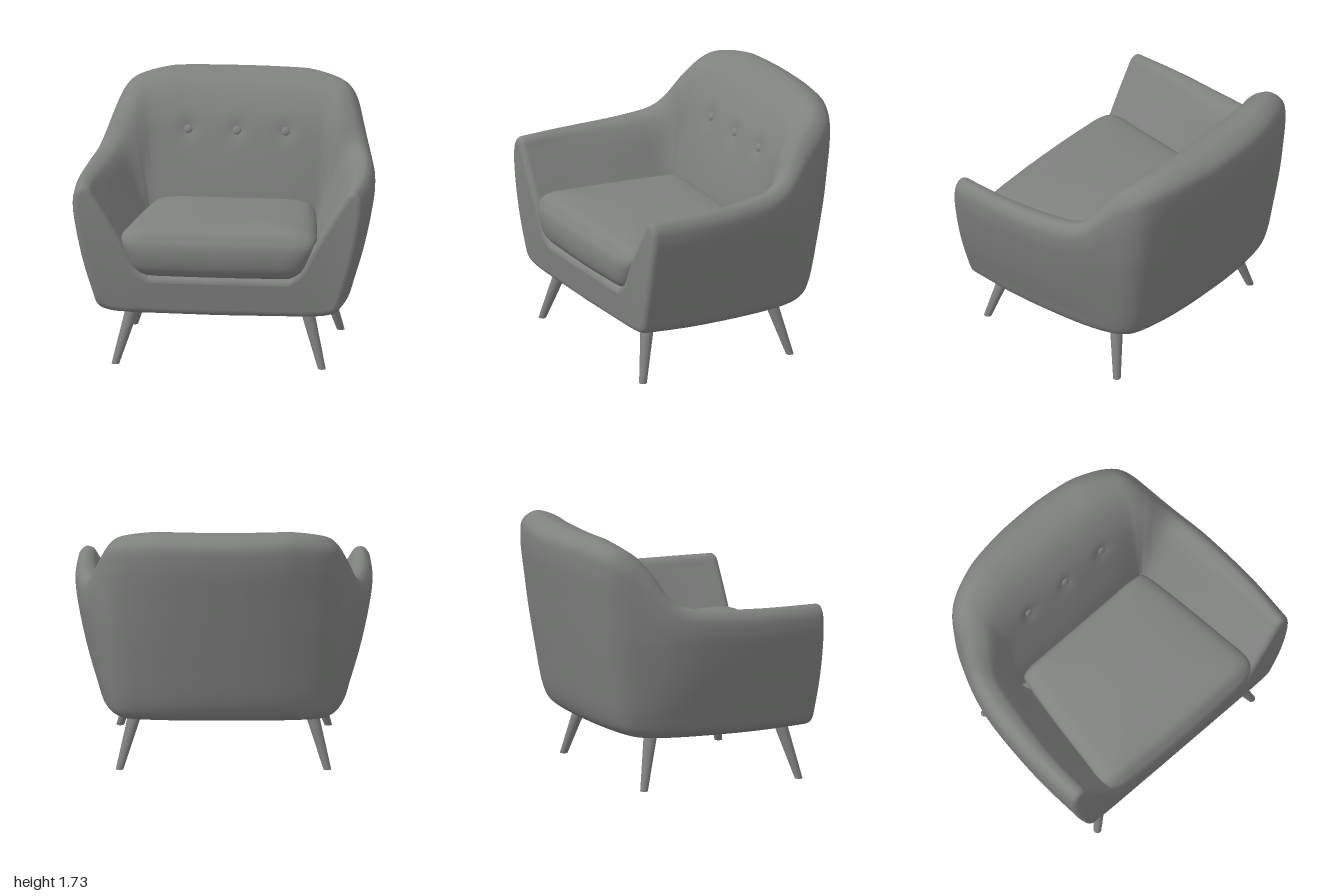
import * as THREE from 'three';

const material = new THREE.MeshStandardMaterial({ color: 0x7f817f, side: THREE.DoubleSide });
const { smoothstep, clamp, lerp } = THREE.MathUtils;
const BUTTON_Y = 1.37, BUTTON_X = [-0.33, 0, 0.33];
const ARM_FOOT = 0.52, BACK_FOOT = 0.68;

function addMesh(group, name, geometry) {
  const mesh = new THREE.Mesh(geometry, material);
  mesh.name = name;
  group.add(mesh);
  return mesh;
}

// Skin a grid of points: rows of equal length, optionally closed along each row
function skin(rows, closed) {
  const n = rows[0].length, index = [];
  for (let i = 0; i < rows.length - 1; i++) {
    for (let j = 0; j < (closed ? n : n - 1); j++) {
      const k = (j + 1) % n;
      const a = i * n + j, b = (i + 1) * n + j, c = (i + 1) * n + k, d = i * n + k;
      index.push(a, b, c, a, c, d);
    }
  }
  const geometry = new THREE.BufferGeometry().setFromPoints(rows.flat());
  geometry.setIndex(index);
  geometry.computeVertexNormals();
  return geometry;
}

// Wall profiles, [inset from the outer outline, height], from underside over the rim to the seat
const smooth = (pts) => new THREE.CatmullRomCurve3(pts.map(([d, y]) => new THREE.Vector3(d, y, 0))).getPoints(112);
const armProfile = smooth([
  [0.40, 0.342], [0.25, 0.356], [0.175, 0.395], [0.13, 0.52], [0.07, 0.72],
  [0.02, 0.95], [0, 1.1], [0.01, 1.19], [0.055, 1.237], [0.105, 1.226],
  [0.15, 1.16], [0.245, 1.01], [0.35, 0.84], [0.44, 0.68], [ARM_FOOT, 0.62],
]);
const backProfile = smooth([
  [0.50, 0.345], [0.33, 0.365], [0.25, 0.41], [0.2, 0.51], [0.135, 0.8],
  [0.05, 1.25], [0.005, 1.55], [0.02, 1.67], [0.12, 1.73], [0.24, 1.71],
  [0.35, 1.64], [0.47, 1.47], [0.55, 1.25], [0.63, 0.95], [BACK_FOOT, 0.62],
]);

// Half plan from front of arm to middle of back: outer x, z, inner foot x, z, blend arm to back
const plan = [
  [0.985, 0.77, 0.47, 0.77, 0], [1.0, 0.4, 0.48, 0.4, 0], [0.98, 0, 0.475, 0, 0.03],
  [0.94, -0.25, 0.5, -0.14, 0.14], [0.885, -0.46, 0.54, -0.185, 0.53],
  [0.81, -0.635, 0.545, -0.2, 0.8], [0.69, -0.735, 0.52, -0.205, 0.92],
  [0.45, -0.815, 0.38, -0.195, 1], [0.2, -0.853, 0.18, -0.185, 1], [0, -0.86, 0, -0.18, 1],
];
const wholePlan = [...plan, ...plan.slice(0, -1).reverse().map(([x, z, fx, fz, w]) => [-x, z, -fx, fz, w])];

// The front bows out slightly at mid height, and the underside rises toward front and rear
function bow(v) {
  v.y += 0.025 * clamp((0.5 - v.y) / 0.15, 0, 1) * (v.z / 0.8) ** 2;
  v.z -= 0.08 * (v.y - 0.9) ** 2 * smoothstep(v.z, 0.3, 0.77);
}

function shellRows() {
  const path = new THREE.CatmullRomCurve3(wholePlan.map((p) => new THREE.Vector3(p[0], p[4], p[1])), false, 'catmullrom');
  const foot = new THREE.CatmullRomCurve3(wholePlan.map((p) => new THREE.Vector3(p[2], 0, p[3])), false, 'catmullrom');
  const rows = [], steps = 144;
  for (let i = 0; i <= steps; i++) {
    const p = path.getPoint(i / steps), f = foot.getPoint(i / steps);
    const w = clamp(p.y, 0, 1), zc = Math.max(p.z, -0.1);
    const reach = lerp(ARM_FOOT, BACK_FOOT, w);
    // Arm rims thicken toward the rear; the top corners of the back lean inward
    const thicken = 0.05 * (1 - w) * smoothstep(-p.z, -0.8, 0.2);
    const lean = 0.24 * w * (1 - w);
    const row = armProfile.map((a, j) => {
      const q = a.clone().lerp(backProfile[j], w);
      const inset = q.x + thicken * Math.exp(-(((j / 8 - 10) / 1.4) ** 2)) + lean * smoothstep(q.y, 1.0, 1.6);
      const k = inset / reach;
      return new THREE.Vector3(p.x + (f.x - p.x) * k, q.y, p.z + (f.z - p.z) * k);
    });
    rows.push([new THREE.Vector3(0, 0.336, zc), ...row, new THREE.Vector3(0, 0.62, zc)]);
  }
  for (const v of rows.flat()) {
    bow(v);
    // Dimples around the buttons
    if (v.z < -0.55) continue;
    for (const x of BUTTON_X) {
      v.z -= 0.018 * Math.exp(-((v.x - x) ** 2 + (v.y - BUTTON_Y) ** 2) / 0.0035);
    }
  }
  return rows;
}

// Rounded front edge: the first section shrinks while moving forward
function frontRow(row, angle, radius) {
  const inset = radius * (1 - Math.cos(angle));
  return row.map((v, j) => {
    const a = row[Math.max(j - 1, 0)], b = row[Math.min(j + 1, row.length - 1)];
    const tx = b.x - a.x, ty = b.y - a.y, l = Math.hypot(tx, ty) || 1;
    return new THREE.Vector3(v.x - (ty / l) * inset, v.y + (tx / l) * inset, v.z + radius * Math.sin(angle));
  });
}

// Panel inside the rounded edge: rungs from the outer to the inner side of the section
function frontPanelGeometry(edge) {
  const last = edge.length - 1;
  const tip = edge.reduce((best, v, j) => (v.y > edge[best].y ? j : best), 0);
  const at = (t) => {
    const j = Math.min(Math.floor(t), last - 1);
    return edge[j].clone().lerp(edge[j + 1], t - j);
  };
  const rungs = [];
  for (let i = 0; i <= 80; i++) {
    const outer = at((i / 80) * tip), inner = at(last - (i / 80) * (last - tip));
    rungs.push([0, 0.25, 0.5, 0.75, 1].map((k) => outer.clone().lerp(inner, k)));
  }
  const mirrored = rungs.slice(1).reverse().map((r) => r.map((v) => new THREE.Vector3(-v.x, v.y, v.z)));
  return skin([...mirrored, ...rungs], false);
}

function cushionGeometry() {
  const half = [[0.35, 0.85], [0.59, 0.828], [0.65, 0.78], [0.635, 0.5], [0.59, 0.1],
    [0.555, -0.13], [0.535, -0.19], [0.47, -0.212], [0.25, -0.215]];
  const outline = [[0, 0.857], ...half, [0, -0.215], ...half.slice().reverse().map(([x, z]) => [-x, z])];
  const curve = new THREE.CatmullRomCurve3(outline.map(([x, z]) => new THREE.Vector3(x, 0, z)), true);
  const loop = curve.getPoints(120).slice(0, -1);
  // Layers from bottom to top: height, width scale, depth scale
  const layers = new THREE.CatmullRomCurve3([
    [0.62, 0, 0], [0.62, 0.5, 0.6], [0.625, 0.8, 0.86], [0.645, 0.86, 0.92], [0.69, 0.905, 0.975],
    [0.77, 0.955, 1], [0.845, 1, 0.985], [0.89, 1, 0.94], [0.93, 0.93, 0.88],
    [0.955, 0.78, 0.76], [0.975, 0.45, 0.48], [0.983, 0, 0],
  ].map(([y, sx, sz]) => new THREE.Vector3(sx, y, sz))).getPoints(48);
  return skin(layers.map((s) => loop.map((p) => {
    // The rear edge keeps its depth better than the rounded front
    const sz = p.z < 0.32 ? s.z * (1.6 - 0.6 * s.z) : s.z;
    return new THREE.Vector3(p.x * s.x, s.y, 0.32 + (p.z - 0.32) * sz);
  })), true);
}

// Tapered leg, leaning by a shear so that its foot stays level
function legGeometry(foot, top) {
  const h = 0.4, g = new THREE.CylinderGeometry(0.048, 0.026, h, 24);
  g.translate(0, h / 2, 0);
  const pos = g.attributes.position;
  for (let i = 0; i < pos.count; i++) {
    const t = pos.getY(i) / h;
    pos.setX(i, pos.getX(i) + foot[0] + (top[0] - foot[0]) * t);
    pos.setZ(i, pos.getZ(i) + foot[1] + (top[1] - foot[1]) * t);
  }
  g.computeVertexNormals();
  return g;
}

export function createModel() {
  const group = new THREE.Group();
  group.name = 'armchair';

  // Upholstered body: arms, back, seat base and underside in one sweep
  const rows = shellRows();
  const rounding = [1, 0.8, 0.6, 0.4, 0.2].map((k) => frontRow(rows[0], k * Math.PI / 2, 0.04));
  const mirrored = rounding.slice().reverse().map((r) => r.map((v) => new THREE.Vector3(-v.x, v.y, v.z)));
  addMesh(group, 'body', skin([...rounding, ...rows, ...mirrored], false));
  addMesh(group, 'frontPanel', frontPanelGeometry(rounding[0]));

  addMesh(group, 'seatCushion', cushionGeometry());

  // Back buttons, seated on the nearest point of the backrest
  const inner = rows.flat().filter((v) => v.z > -0.55 && v.y > 1.2);
  for (const x of BUTTON_X) {
    const dist = (v) => Math.hypot(v.x - x, v.y - BUTTON_Y);
    const seat = inner.reduce((best, v) => (dist(v) < dist(best) ? v : best));
    const button = addMesh(group, 'backButton', new THREE.SphereGeometry(0.029, 20, 12));
    button.scale.z = 0.4;
    button.rotation.x = -0.35;
    button.position.set(x, BUTTON_Y, seat.z + 0.002);
  }

  // Splayed legs
  for (const side of [1, -1]) {
    addMesh(group, 'frontLeg', legGeometry([side * 0.7, 0.73], [side * 0.585, 0.63]));
    addMesh(group, 'backLeg', legGeometry([side * 0.7, -0.4], [side * 0.585, -0.3]));
  }
  return group;
}
